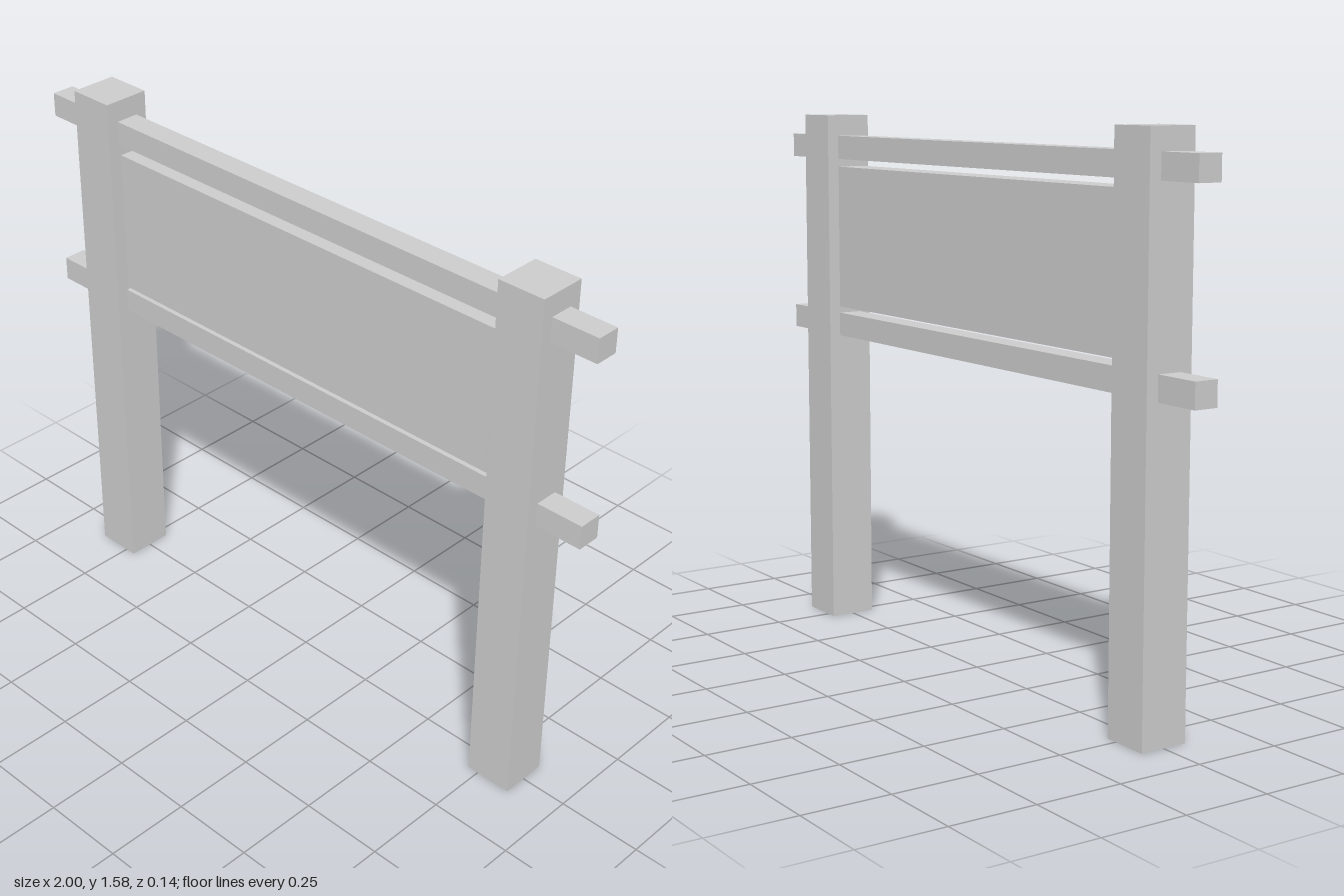
import * as THREE from 'three';

// Two-post sign: square posts, through rails and a board held between them
export function createModel() {
  const group = new THREE.Group();
  const material = new THREE.MeshStandardMaterial({ color: 0xcccccc, flatShading: true });

  function box(name, width, height, depth, x, y) {
    const mesh = new THREE.Mesh(new THREE.BoxGeometry(width, height, depth), material);
    mesh.name = name;
    mesh.position.set(x, y, 0);
    group.add(mesh);
  }

  // Posts
  const postHeight = 1.583;
  const postSize = 0.142;
  for (const [name, side] of [['leftPost', 1], ['rightPost', -1]]) {
    box(name, postSize, postHeight, postSize, side * 0.787, postHeight / 2);
  }

  // Rails running through both posts
  const railSize = 0.071;
  box('topRail', 2, railSize, railSize, 0, 1.485);
  box('bottomRail', 2, railSize, railSize, 0, 0.937);

  // Board, slightly thicker than the rails, with a narrow gap all round
  box('signBoard', 1.39, 0.432, 0.094, 0, 1.211);

  return group;
}
